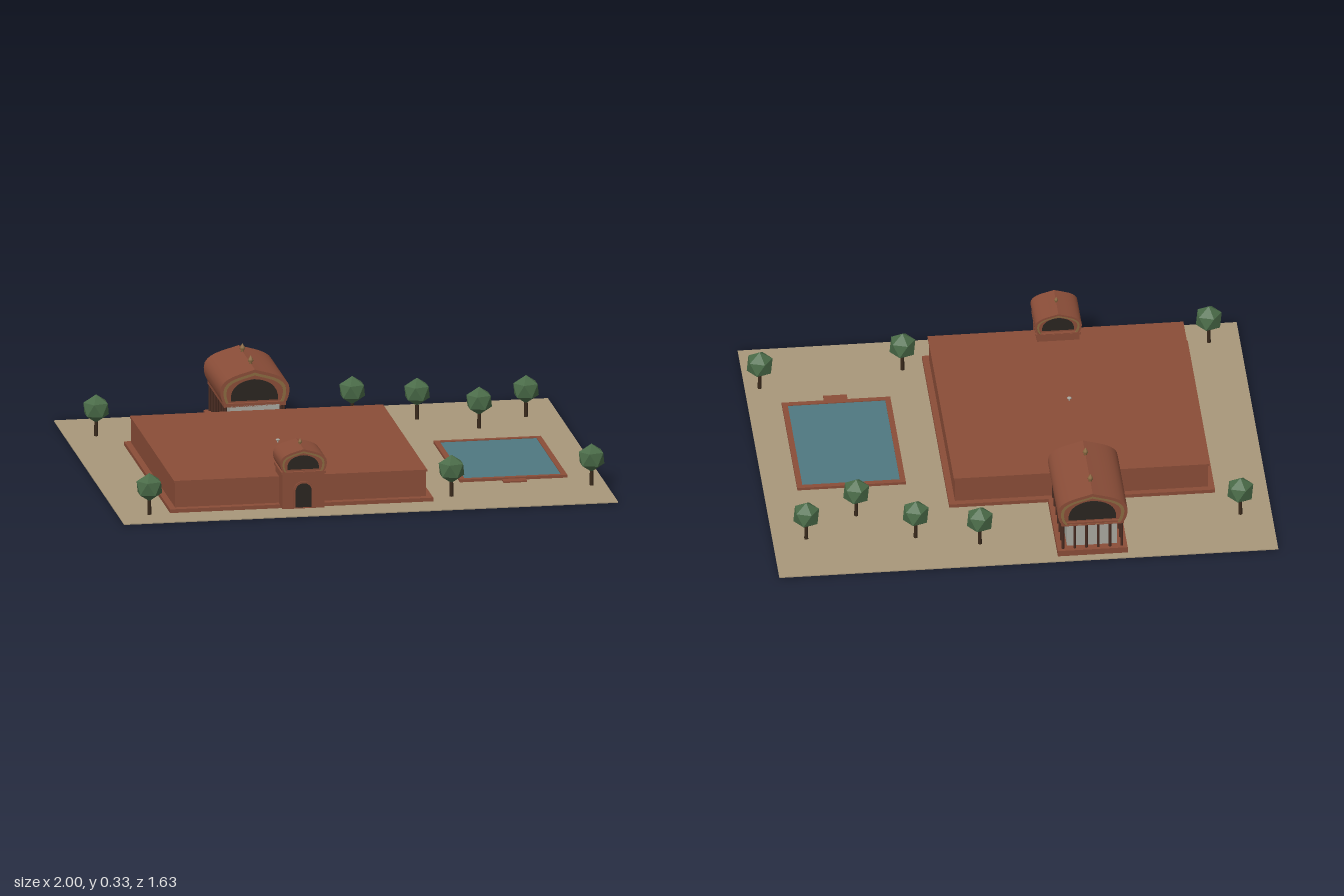
import * as THREE from 'three';
import { toCreasedNormals } from 'three/addons/utils/BufferGeometryUtils.js';

const mat = (color, flatShading = false) => {
  const m = new THREE.MeshStandardMaterial({ color });
  m.flatShading = flatShading;
  return m;
};
const brick = mat(0x8a4d38), earth = mat(0xa8977a), water = mat(0x4f7880);
const leaf = mat(0x4a6b48, true), bark = mat(0x3a2a1c), glass = mat(0xaaa9a0);
const dark = mat(0x2a2520), gold = mat(0x8a6a40), timber = mat(0x4a2c22);

function add(parent, name, geo, material, x = 0, y = 0, z = 0) {
  const mesh = new THREE.Mesh(geo, material);
  mesh.name = name;
  mesh.position.set(x, y, z);
  parent.add(mesh);
  return mesh;
}

// Box given by its limits on each axis
function box(parent, name, material, x0, x1, y0, y1, z0, z1) {
  return add(parent, name, new THREE.BoxGeometry(x1 - x0, y1 - y0, z1 - z0), material,
    (x0 + x1) / 2, (y0 + y1) / 2, (z0 + z1) / 2);
}

// Pointed horseshoe outline: half width w, height h, base on y = 0
function ogee(w, h, target = new THREE.Shape()) {
  target.moveTo(0.86 * w, 0);
  target.bezierCurveTo(0.95 * w, 0.1 * h, w, 0.25 * h, w, 0.42 * h);
  target.bezierCurveTo(w, 0.82 * h, 0.35 * w, 0.88 * h, 0, h);
  target.bezierCurveTo(-0.35 * w, 0.88 * h, -w, 0.82 * h, -w, 0.42 * h);
  target.bezierCurveTo(-w, 0.25 * h, -0.95 * w, 0.1 * h, -0.86 * w, 0);
  target.closePath();
  return target;
}

// Round-topped opening
function archShape(w, h) {
  const s = new THREE.Shape();
  s.moveTo(-w, 0);
  s.lineTo(w, 0);
  s.lineTo(w, h - w);
  s.absarc(0, h - w, w, 0, Math.PI, false);
  s.closePath();
  return s;
}

const extrude = (shape, depth) => toCreasedNormals(
  new THREE.ExtrudeGeometry(shape, { depth, bevelEnabled: false, curveSegments: 8 }), 0.5);

function ogeeRing(w, h, t) {
  const s = ogee(w, h);
  s.holes.push(ogee(w - t, h - t, new THREE.Path()));
  return s;
}

function finial(parent, y, z, s) {
  const pts = [[0, 0], [0.012, 0], [0.005, 0.008], [0.013, 0.018], [0.01, 0.026], [0, 0.044]];
  const geo = new THREE.LatheGeometry(pts.map(p => new THREE.Vector2(p[0] * s, p[1] * s)), 8);
  add(parent, 'finial', geo, gold, 0, y, z);
}

// Barrel roof with trimmed, recessed gables at both ends
function vault(parent, w, h, y, z0, z1) {
  const g = new THREE.Group();
  g.name = 'vaultedRoof';
  const len = z1 - z0, t = 0.09 * w;
  add(g, 'roofShell', extrude(ogeeRing(w, h, t), len), brick, 0, y, z0);
  add(g, 'gableWall', extrude(ogee(w - t, h - t), len - 0.03), brick, 0, y, z0 + 0.015);
  const trim = extrude(ogeeRing(w - t, h - t, t), 0.006);
  const opening = new THREE.Shape();
  opening.moveTo(0.68 * w, 0.1 * h);
  opening.bezierCurveTo(0.72 * w, 0.52 * h, 0.35 * w, 0.68 * h, 0, 0.7 * h);
  opening.bezierCurveTo(-0.35 * w, 0.68 * h, -0.72 * w, 0.52 * h, -0.68 * w, 0.1 * h);
  opening.closePath();
  const pane = extrude(opening, 0.003);
  for (const [zt, zp] of [[z0 + 0.004, z0 + 0.0125], [z1 - 0.01, z1 - 0.0155]]) {
    add(g, 'gableTrim', trim, gold, 0, y, zt);
    add(g, 'gableOpening', pane, dark, 0, y, zp);
  }
  parent.add(g);
}

function tree(parent, x, z) {
  const g = new THREE.Group();
  g.name = 'tree';
  g.position.set(x, 0, z);
  add(g, 'trunk', new THREE.CylinderGeometry(0.007, 0.009, 0.08, 6), bark, 0, 0.04, 0);
  const crown = new THREE.IcosahedronGeometry(0.058, 0);
  crown.rotateZ(Math.atan(2 / (1 + Math.sqrt(5))));
  add(g, 'crown', crown, leaf, 0, 0.118, 0);
  parent.add(g);
}

export function createModel() {
  const model = new THREE.Group();
  model.name = 'walledEstate';
  box(model, 'ground', earth, -1, 1, 0.001, 0.005, -0.815, 0.815);

  // Main hall
  box(model, 'hallPlinth', brick, -0.79, 0.275, 0, 0.02, -0.39, 0.68);
  box(model, 'hallWalls', brick, -0.765, 0.25, 0.02, 0.122, -0.365, 0.65);
  box(model, 'hallRoof', brick, -0.77, 0.255, 0.122, 0.13, -0.37, 0.655);
  add(model, 'roofOrnament', new THREE.CylinderGeometry(0.003, 0.003, 0.014, 6), glass, -0.26, 0.137, 0.14);
  add(model, 'roofOrnament', new THREE.SphereGeometry(0.01, 8, 4).scale(1, 0.4, 1), glass, -0.26, 0.142, 0.14);

  // Entrance gatehouse
  const gate = new THREE.Group();
  gate.name = 'gatehouse';
  gate.position.x = -0.26;
  box(gate, 'gateBlock', brick, -0.085, 0.085, 0.015, 0.16, 0.57, 0.735);
  box(gate, 'gateCornice', brick, -0.09, 0.09, 0.157, 0.167, 0.566, 0.739);
  const surround = archShape(0.042, 0.108);
  surround.holes.push(archShape(0.033, 0.1));
  add(gate, 'doorSurround', extrude(surround, 0.006), brick, 0, 0.02, 0.735);
  add(gate, 'door', extrude(archShape(0.033, 0.1), 0.002), dark, 0, 0.02, 0.735);
  vault(gate, 0.094, 0.095, 0.165, 0.565, 0.74);
  finial(gate, 0.255, 0.655, 0.65);
  model.add(gate);

  // Rear pavilion with columns and glazed walls
  const pav = new THREE.Group();
  pav.name = 'pavilion';
  pav.position.x = -0.26;
  box(pav, 'pavilionPlinth', brick, -0.14, 0.14, 0, 0.03, -0.78, -0.39);
  box(pav, 'glazing', glass, -0.1, 0.1, 0.03, 0.145, -0.745, -0.39);
  box(pav, 'beam', brick, -0.125, 0.125, 0.14, 0.155, -0.77, -0.39);
  const column = new THREE.CylinderGeometry(0.0055, 0.0055, 0.115, 8);
  for (let i = 0; i < 7; i++)
    for (const s of [-1, 1]) add(pav, 'sideColumn', column, timber, s * 0.118, 0.0875, -0.762 + i * 0.061);
  for (let i = 1; i < 5; i++)
    add(pav, 'backColumn', column, timber, -0.118 + i * 0.0472, 0.0875, -0.762);
  vault(pav, 0.14, 0.145, 0.147, -0.775, -0.39);
  for (const z of [-0.49, -0.68]) finial(pav, 0.286, z, 0.9);
  model.add(pav);

  // Pool with raised rim and step
  const pool = new THREE.Group();
  pool.name = 'pool';
  const rim = 0.022;
  const [x0, x1, z0, z1] = [0.43, 0.865, -0.205, 0.41];
  for (const [a, b] of [[x0, x0 + rim], [x1 - rim, x1]]) box(pool, 'poolRim', brick, a, b, 0, 0.016, z0, z1);
  for (const [a, b] of [[z0, z0 + rim], [z1 - rim, z1]]) box(pool, 'poolRim', brick, x0 + rim, x1 - rim, 0, 0.016, a, b);
  box(pool, 'water', water, x0 + rim, x1 - rim, 0, 0.013, z0 + rim, z1 - rim);
  box(pool, 'poolStep', brick, 0.6, 0.695, 0, 0.011, z1, 0.45);
  model.add(pool);

  // Garden trees
  for (const [x, z] of [[-0.875, -0.55], [-0.875, 0.685], [0.18, -0.655], [0.43, -0.585],
    [0.865, -0.55], [0.65, -0.405], [0.36, 0.615], [0.94, 0.54]]) tree(model, x, z);

  return model;
}
